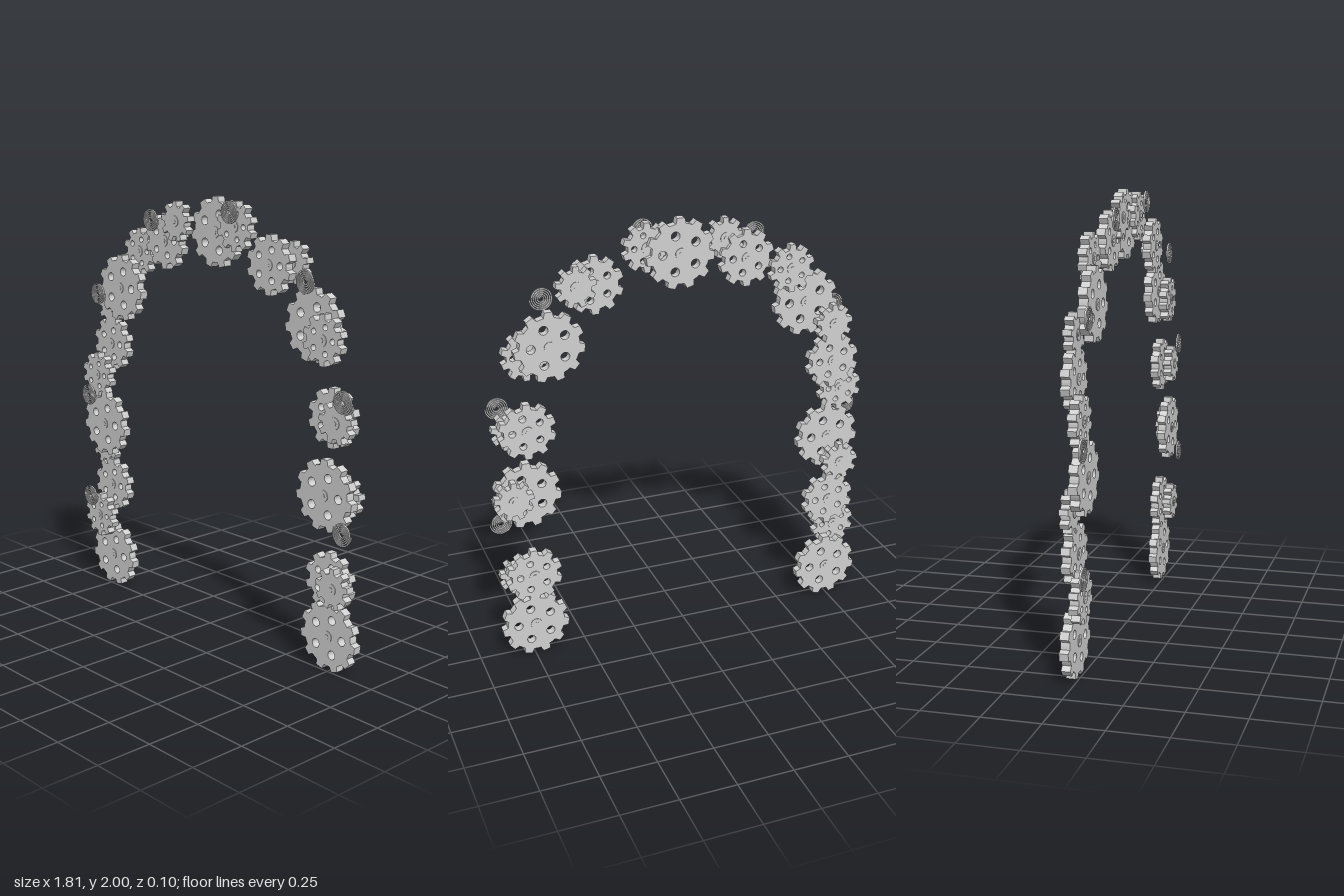
import * as THREE from 'three';

const steel = new THREE.MeshStandardMaterial({ color: 0xd0d0d0 });
steel.name = 'steel';

const THICK = 0.04;
const BACK = -0.026, MID = -0.003, FRONT = 0.016;

// outer radius, tooth count, hole circle radius, hole radius
const KINDS = {
  large: { r: 0.158, teeth: 11, ring: 0.083, hole: 0.02 },
  medium: { r: 0.13, teeth: 10, ring: 0.068, hole: 0.016 },
  small: { r: 0.11, teeth: 10, ring: 0.058, hole: 0.013 },
  plain: { r: 0.092, teeth: 9, ring: 0, hole: 0 },
};

// toothed disc with tapered teeth and five round holes
function gearGeometry({ r, teeth, ring, hole }) {
  const shape = new THREE.Shape();
  const root = r - 0.024, pitch = Math.PI * 2 / teeth;
  for (let i = 0; i < teeth; i++) {
    [[-0.5, root], [-0.3, root], [-0.19, r], [0.19, r], [0.3, root]].forEach(([f, rad], j) => {
      const a = Math.PI / 2 + (i + f) * pitch;
      const x = Math.cos(a) * rad, y = Math.sin(a) * rad;
      if (i === 0 && j === 0) shape.moveTo(x, y); else shape.lineTo(x, y);
    });
  }
  shape.closePath();
  for (let i = 0; hole && i < 5; i++) {
    const a = 1.27 + i * Math.PI * 2 / 5;
    const path = new THREE.Path();
    path.absarc(Math.cos(a) * ring, Math.sin(a) * ring, hole, 0, Math.PI * 2, true);
    shape.holes.push(path);
  }
  const geo = new THREE.ExtrudeGeometry(shape, { depth: THICK, bevelEnabled: false, curveSegments: 8 });
  return geo.translate(0, 0, -THICK / 2);
}

// flat coil: a ribbon outlined along its outer edge and back along its inner edge
function spiralGeometry() {
  const STEPS = 160, TURNS = 5, HALF = 0.003, DEPTH = 0.008;
  const edge = side => Array.from({ length: STEPS + 1 }, (_, i) => {
    const t = i / STEPS, a = t * Math.PI * 2 * TURNS;
    const rad = 0.008 + 0.043 * t + side * HALF;
    return new THREE.Vector2(Math.cos(a) * rad, Math.sin(a) * rad);
  });
  const shape = new THREE.Shape([...edge(1), ...edge(-1).reverse()]);
  const geo = new THREE.ExtrudeGeometry(shape, { depth: DEPTH, bevelEnabled: false });
  return geo.translate(0, 0, -DEPTH / 2);
}

// kind, x, y, z of each gear along the arch
const GEARS = [
  // left leg
  ['large', -0.74, 0.16, BACK], ['small', -0.795, 0.365, FRONT],
  ['medium', -0.74, 0.53, BACK], ['plain', -0.795, 0.72, BACK],
  ['large', -0.74, 0.85, FRONT], ['small', -0.795, 1.09, FRONT],
  ['medium', -0.73, 1.25, BACK], ['plain', -0.73, 1.43, BACK],
  // crown
  ['large', -0.6, 1.54, FRONT], ['small', -0.505, 1.72, BACK],
  ['medium', -0.295, 1.785, MID], ['plain', -0.2, 1.88, FRONT],
  ['large', 0.025, 1.845, BACK], ['small', 0.17, 1.88, MID],
  ['medium', 0.4, 1.735, FRONT], ['plain', 0.495, 1.75, BACK],
  // right leg
  ['large', 0.62, 1.5, BACK], ['small', 0.715, 1.455, FRONT],
  ['medium', 0.735, 1.125, BACK], ['plain', 0.795, 1.12, FRONT],
  ['large', 0.74, 0.8, FRONT], ['plain', 0.81, 0.8, BACK],
  ['medium', 0.735, 0.41, BACK], ['plain', 0.795, 0.4, FRONT],
  ['large', 0.74, 0.16, BACK],
];

const SPIRALS = [
  [-0.85, 0.46], [-0.85, 0.985], [-0.76, 1.5], [-0.355, 1.88],
  [0.17, 1.945], [0.625, 1.69], [0.845, 1.22], [0.855, 0.66],
];

export function createModel() {
  const model = new THREE.Group();
  model.name = 'gearArch';

  const discs = {};
  for (const kind in KINDS) discs[kind] = gearGeometry(KINDS[kind]);
  const hub = new THREE.CylinderGeometry(0.026, 0.026, THICK + 0.006, 16).rotateX(Math.PI / 2);
  const axle = new THREE.CylinderGeometry(0.01, 0.01, THICK + 0.009, 12).rotateX(Math.PI / 2);

  GEARS.forEach(([kind, x, y, z]) => {
    const gear = new THREE.Group();
    gear.name = kind + 'Gear';
    gear.position.set(x, y, z);
    [['disc', discs[kind]], ['hub', hub], ['axle', axle]].forEach(([name, geo]) => {
      const mesh = new THREE.Mesh(geo, steel);
      mesh.name = name;
      gear.add(mesh);
    });
    model.add(gear);
  });

  const coil = spiralGeometry();
  SPIRALS.forEach(([x, y]) => {
    const mesh = new THREE.Mesh(coil, steel);
    mesh.name = 'spiralSpring';
    mesh.position.set(x, y, 0.045);
    model.add(mesh);
  });
  return model;
}
